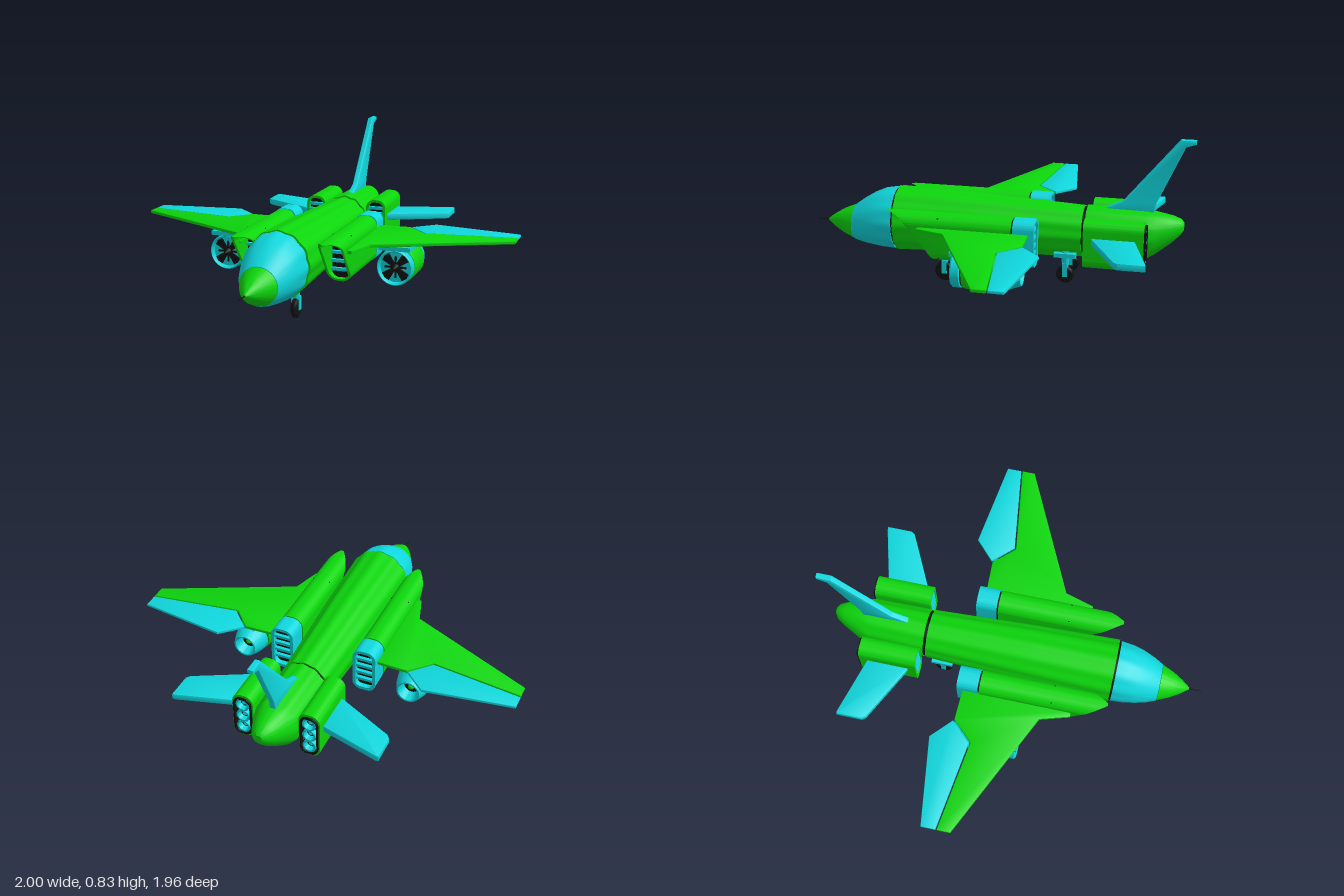
import * as THREE from 'three';
import { toCreasedNormals } from 'three/addons/utils/BufferGeometryUtils.js';

export function createModel() {
  const mat = (name, color, side = THREE.FrontSide) => {
    const m = new THREE.MeshStandardMaterial({ color, side });
    m.name = name;
    return m;
  };
  const green = mat('green', 0x0cd60c, THREE.DoubleSide);
  const cyan = mat('cyan', 0x0fd8de, THREE.DoubleSide);
  const black = mat('black', 0x111111);
  const root = new THREE.Group();
  root.name = 'jet';

  const add = (name, geo, material, x = 0, y = 0, z = 0, parent = root) => {
    const m = new THREE.Mesh(geo, material);
    m.name = name;
    m.position.set(x, y, z);
    parent.add(m);
    return m;
  };
  const box = (name, w, h, d, material, x, y, z, parent) =>
    add(name, new THREE.BoxGeometry(w, h, d), material, x, y, z, parent);

  // Skin through elliptical sections [z, centreY, rx, ry, lobeDepth], front to back
  const loft = (sections) => {
    const n = 72, pos = [], idx = [];
    const [f, b] = [sections[0], sections[sections.length - 1]];
    const rings = [[f[0], f[1], 0, 0, 0], ...sections, [b[0], b[1], 0, 0, 0]];
    rings.forEach(([z, cy, rx, ry, lobe = 0], i) => {
      for (let j = 0; j <= n; j++) {
        const a = (j / n) * Math.PI * 2, k = 1 + lobe * Math.cos(12 * a);
        pos.push(rx * k * Math.cos(a), cy + ry * k * Math.sin(a), z);
        if (i && j < n) {
          const p = (i - 1) * (n + 1) + j, q = p + n + 1;
          idx.push(p, q, p + 1, p + 1, q, q + 1);
        }
      }
    });
    const g = new THREE.BufferGeometry();
    g.setAttribute('position', new THREE.Float32BufferAttribute(pos, 3));
    g.setIndex(idx);
    return toCreasedNormals(g, 0.6);
  };

  // Flat panel with softened edges, extruded from an outline
  const slab = (pts, t, bevel) => {
    const shape = new THREE.Shape(pts.map(([a, b]) => new THREE.Vector2(a, b)));
    const g = new THREE.ExtrudeGeometry(shape, {
      depth: t - 2 * bevel, bevelThickness: bevel, bevelSize: bevel, bevelOffset: -bevel, bevelSegments: 2,
    });
    return toCreasedNormals(g.translate(0, 0, bevel - t / 2), 0.6);
  };
  const panel = (pts, t, s) => slab(pts.map(([x, z]) => [x * s, z]), t, 0.005).rotateX(Math.PI / 2);

  // Rounded rectangular tube along z, optionally with a curved front lip
  const duct = (w, h, z0, z1, r, wall, lip) => {
    const trace = (p, a, b, c) => {
      p.moveTo(-a + c, -b).lineTo(a - c, -b).absarc(a - c, -b + c, c, -Math.PI / 2, 0)
        .absarc(a - c, b - c, c, 0, Math.PI / 2).absarc(-a + c, b - c, c, Math.PI / 2, Math.PI)
        .absarc(-a + c, -b + c, c, Math.PI, Math.PI * 1.5);
      return p;
    };
    const shape = trace(new THREE.Shape(), w / 2, h / 2, r);
    shape.holes.push(trace(new THREE.Path(), w / 2 - wall, h / 2 - wall, r - wall));
    const g = new THREE.ExtrudeGeometry(shape, { depth: z1 - z0, bevelEnabled: false, curveSegments: 10 });
    g.translate(0, 0, z0);
    const p = g.attributes.position;
    if (lip) for (let i = 0; i < p.count; i++) if (p.getZ(i) > z1 - 1e-4) p.setZ(i, lip(p.getY(i)));
    return toCreasedNormals(g, 0.6);
  };
  const lathe = (pts) => toCreasedNormals(
    new THREE.LatheGeometry(pts.map(([r, z]) => new THREE.Vector2(r, z)), 36).rotateX(Math.PI / 2), 0.6);
  const grille = (name, w, h, n, x, y, z, face) => {
    const g = new THREE.Group();
    g.name = name;
    g.position.set(x, y, z);
    root.add(g);
    box('grilleBack', w, h, 0.008, black, 0, 0, 0, g);
    for (let i = 0; i < n; i++)
      box('grilleSlat', w, h * 0.07, 0.02, cyan, 0, h * ((i + 1) / (n + 1) - 0.5), face * 0.012, g);
  };

  // Fuselage
  add('nose', loft([[0.92, 0.29, 0.006, 0.006], [0.88, 0.29, 0.036, 0.036], [0.83, 0.29, 0.066, 0.066],
    [0.767, 0.29, 0.094, 0.092]]), green);
  add('noseProbe', new THREE.CylinderGeometry(0.003, 0.003, 0.07, 8).rotateX(Math.PI / 2), black, 0, 0.29, 0.945);
  add('cockpit', loft([[0.765, 0.29, 0.096, 0.094], [0.72, 0.301, 0.117, 0.117], [0.66, 0.315, 0.137, 0.14, 0.004],
    [0.6, 0.325, 0.149, 0.157, 0.01], [0.535, 0.33, 0.154, 0.163, 0.018]]), cyan);
  add('frontSeam', loft([[0.54, 0.33, 0.149, 0.156], [0.52, 0.33, 0.149, 0.156]]), black);
  add('body', loft([[0.525, 0.33, 0.16, 0.167, 0.02], [0.1, 0.332, 0.147, 0.153, 0.02],
    [-0.44, 0.329, 0.123, 0.13, 0.02]]), green);
  add('rearSeam', loft([[-0.43, 0.33, 0.117, 0.123], [-0.47, 0.33, 0.117, 0.123]]), black);
  add('tailBody', loft([[-0.455, 0.333, 0.122, 0.13, 0.02], [-0.75, 0.333, 0.117, 0.127, 0.015],
    [-0.8, 0.346, 0.1, 0.108], [-0.88, 0.372, 0.064, 0.068], [-0.92, 0.386, 0.04, 0.04],
    [-0.935, 0.39, 0.018, 0.02]]), green);

  // Tail fin
  add('tailFin', slab([[-0.53, 0.43], [-0.55, 0.465], [-0.63, 0.5], [-0.9, 0.83], [-0.975, 0.83], [-0.975, 0.81],
    [-0.925, 0.792], [-0.795, 0.5], [-0.78, 0.42]], 0.032, 0.008).rotateY(-Math.PI / 2), cyan);

  for (const s of [1, -1]) {
    // Side air ducts
    const lip = (y) => 0.527 - 0.25 * Math.sqrt(Math.max(0, 0.445 - (y + 0.325)) / 0.24);
    add('sideDuct', duct(0.125, 0.24, -0.12, 0.3, 0.055, 0.012, lip), green, s * 0.223, 0.325, 0);
    add('ductOutlet', duct(0.121, 0.24, -0.235, -0.128, 0.045, 0.016), cyan, s * 0.223, 0.325, 0);
    add('ductSeam', duct(0.112, 0.224, -0.14, -0.11, 0.045, 0.01), black, s * 0.223, 0.325, 0);
    grille('intakeGrille', 0.096, 0.212, 4, s * 0.223, 0.325, 0.25, 1);
    grille('outletGrille', 0.092, 0.205, 4, s * 0.223, 0.325, -0.205, -1);

    // Tail engines with slatted intakes and triple nozzles
    add('tailEngine', duct(0.108, 0.245, -0.76, -0.465, 0.045, 0.014), green, s * 0.171, 0.328, 0);
    add('tailEngineSeam', duct(0.094, 0.22, -0.77, -0.74, 0.04, 0.008), black, s * 0.171, 0.328, 0);
    grille('tailIntakeGrille', 0.082, 0.214, 6, s * 0.171, 0.328, -0.49, 1);
    box('nozzleBack', 0.078, 0.21, 0.008, black, s * 0.171, 0.328, -0.735);
    for (const dy of [-0.066, 0, 0.066]) {
      add('nozzle', lathe([[0.02, -0.735], [0.026, -0.765], [0.034, -0.765], [0.034, -0.735]]),
        cyan, s * 0.171, 0.328 + dy, 0);
      add('nozzleCore', new THREE.SphereGeometry(0.012, 12, 8), cyan, s * 0.171, 0.328 + dy, -0.74);
    }

    // Wings, flaps and tailplanes
    add('wing', panel([[0.27, 0.35], [0.305, 0.355], [0.35, 0.205], [1, -0.1], [1, -0.168], [0.54, -0.105],
      [0.44, -0.21], [0.27, -0.205]], 0.018, s), green, 0, 0.374, 0);
    add('flap', panel([[0.445, -0.215], [0.543, -0.112], [1, -0.174], [1, -0.248], [0.55, -0.313]], 0.016, s),
      cyan, 0, 0.374, 0);
    add('tailplane', panel([[0.21, -0.5], [0.24, -0.512], [0.515, -0.65], [0.53, -0.67], [0.53, -0.8], [0.515, -0.8],
      [0.21, -0.715]], 0.034, s), cyan, 0, 0.352, 0);

    // Engine under the wing
    const e = new THREE.Group();
    e.name = 'wingEngine';
    e.position.set(s * 0.45, 0.25, 0);
    root.add(e);
    box('pylon', 0.16, 0.022, 0.2, cyan, 0, 0.098, 0.025, e);
    box('pylonNeck', 0.06, 0.05, 0.27, cyan, 0, 0.088, -0.03, e);
    add('engineRear', lathe([[0.038, -0.16], [0.052, -0.215], [0.06, -0.215], [0.078, -0.165], [0.087, -0.12],
      [0.075, -0.115]]), cyan, 0, 0, 0, e);
    add('engineCasing', lathe([[0.08, -0.11], [0.09, -0.108], [0.095, -0.09], [0.095, 0.05], [0.09, 0.066],
      [0.08, 0.068]]), green, 0, 0, 0, e);
    add('engineSeams', lathe([[0, -0.16], [0.04, -0.16], [0.083, -0.115], [0.083, 0.08], [0, 0.08]]),
      black, 0, 0, 0, e);
    add('engineInlet', lathe([[0.082, 0.074], [0.091, 0.078], [0.091, 0.115], [0.085, 0.122], [0.079, 0.115],
      [0.078, 0.095], [0, 0.095]]), cyan, 0, 0, 0, e);
    for (let i = 0; i < 4; i++) {
      const a = Math.PI / 4 + (i * Math.PI) / 2;
      const blade = new THREE.Shape();
      blade.moveTo(0, -0.006).lineTo(0.072, -0.024).lineTo(0.078, 0).lineTo(0.072, 0.024).lineTo(0, 0.006);
      add('fanBlade', new THREE.ExtrudeGeometry(blade, { depth: 0.008, bevelEnabled: false }),
        black, 0, 0, 0.095, e).rotation.z = a;
      box('fanSpoke', 0.055, 0.009, 0.008, black, 0.027 * Math.cos(a + Math.PI / 4),
        0.027 * Math.sin(a + Math.PI / 4), 0.099, e).rotation.z = a + Math.PI / 4;
    }
    add('fanHub', new THREE.ConeGeometry(0.022, 0.05, 20).rotateX(Math.PI / 2), black, 0, 0, 0.12, e);
    add('exhaustCore', new THREE.SphereGeometry(0.016, 16, 10), green, 0, 0, -0.165, e);
  }

  // Landing gear
  const gear = (name, x, z, wheelY, r, topY) => {
    const g = new THREE.Group();
    g.name = name;
    g.position.set(x, 0, z);
    root.add(g);
    const h = topY - wheelY;
    box('gearPlate', 0.07, 0.022, 0.11, cyan, 0, topY - 0.011, 0, g);
    add('strut', new THREE.CylinderGeometry(0.024, 0.016, h - 0.03, 12), cyan, 0, wheelY + 0.02 + h / 2, 0, g);
    for (const s of [1, -1]) box('fork', 0.006, 0.07, 0.026, cyan, s * 0.019, wheelY + 0.025, 0, g);
    const t = 0.015;
    add('wheel', toCreasedNormals(new THREE.LatheGeometry([[0, -t], [r * 0.8, -t], [r, -t * 0.5], [r, t * 0.5],
      [r * 0.8, t], [0, t]].map(([a, b]) => new THREE.Vector2(a, b)), 28).rotateZ(Math.PI / 2), 0.6),
    black, 0, wheelY, 0, g);
  };
  gear('noseGear', 0, 0.29, 0.052, 0.052, 0.175);
  for (const s of [1, -1]) gear('mainGear', s * 0.085, -0.36, 0.122, 0.045, 0.24);

  return root;
}
